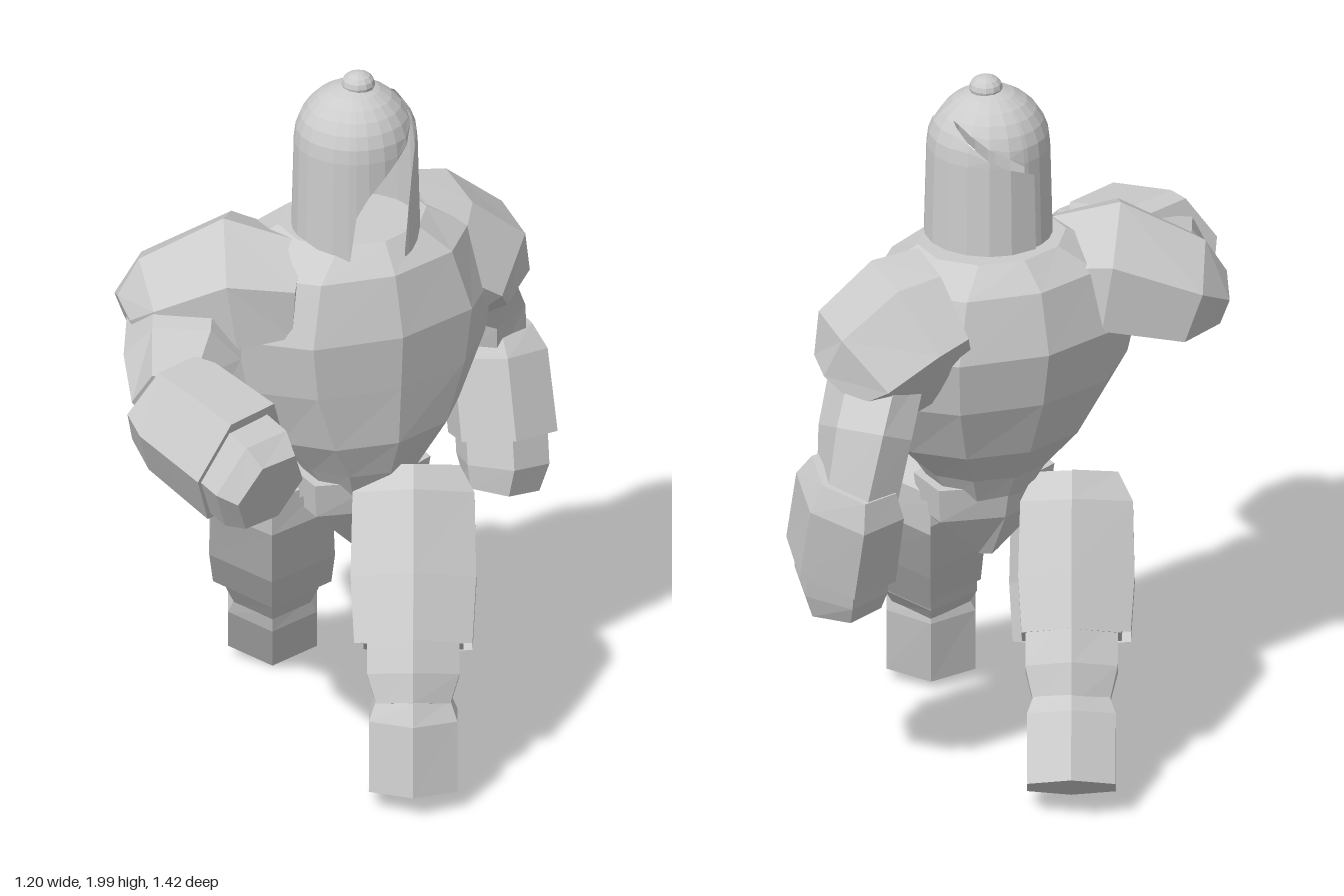
import * as THREE from 'three';

const V = (x, y, z) => new THREE.Vector3(x, y, z);
const { degToRad: rad, clamp } = THREE.MathUtils;
const mat = new THREE.MeshStandardMaterial({ color: 0xcccccc, flatShading: true });
const thin = new THREE.MeshStandardMaterial({ color: 0xcccccc, flatShading: true, side: THREE.DoubleSide });

// Skin a list of rows of points, optionally closing both ends with caps
function skin(rows, capped) {
  const pos = [], idx = [], w = rows[0].length;
  const add = (p) => pos.push(p.x, p.y, p.z) / 3 - 1;
  rows.forEach((r) => r.forEach(add));
  for (let i = 0; i < rows.length - 1; i++)
    for (let j = 0; j < w - 1; j++) {
      const a = i * w + j, b = a + 1, c = b + w, d = a + w;
      idx.push(a, b, c, a, c, d);
    }
  if (capped) {
    for (const end of [0, rows.length - 1]) {
      const mid = V(0, 0, 0);
      for (let j = 0; j < w - 1; j++) mid.addScaledVector(rows[end][j], 1 / (w - 1));
      const m = add(mid), o = end * w;
      for (let j = 0; j < w - 1; j++) end ? idx.push(m, o + j, o + j + 1) : idx.push(m, o + j + 1, o + j);
    }
  }
  const g = new THREE.BufferGeometry();
  g.setAttribute('position', new THREE.Float32BufferAttribute(pos, 3));
  g.setIndex(idx);
  g.computeVertexNormals();
  return g;
}

// Loft polygon sections [x, y, z, half width along side, half depth] along their path;
// faces = [first, last] corner leaves an open plate over part of the polygon
function loft(name, sections, { side = V(1, 0, 0), n = 6, axis, faces, grow = 0 } = {}) {
  const pts = sections.map((s) => V(s[0], s[1], s[2]));
  const [first, last] = faces || [0, n];
  const k = 1 / Math.cos(Math.PI / n);
  const rows = sections.map((s, i) => {
    const t = axis || pts[Math.min(i + 1, pts.length - 1)].clone().sub(pts[Math.max(i - 1, 0)]).normalize();
    const u = side.clone().addScaledVector(t, -side.dot(t)).normalize();
    const v = t.clone().cross(u);
    return Array.from({ length: last - first + 1 }, (_, j) => {
      const a = Math.PI * (2 * (first + j) + 1) / n;
      return pts[i].clone()
        .addScaledVector(u, Math.cos(a) * (s[3] + grow) * k)
        .addScaledVector(v, Math.sin(a) * (s[4] + grow) * (n === 6 ? 1.06 : k));
    });
  });
  const m = new THREE.Mesh(skin(rows, !faces), faces ? thin : mat);
  m.name = name;
  return m;
}

// Helmet: turned dome cut by a slanted slit, with an overlapping side guard below the cut
function helmet() {
  const g = new THREE.Group();
  g.name = 'helmet';
  g.position.set(0.045, 0, -0.13);
  const levels = [1.47, 1.58, 1.68, 1.75, 1.8, 1.84, 1.875, 1.905, 1.93, 1.95, 1.961, 1.965];
  const radius = (y) => y < 1.8 ? 0.165 + (1.8 - y) * 0.025 : Math.sqrt(Math.max(0, 0.165 ** 2 - (y - 1.8) ** 2));
  // columns: [angle, low y, high y]
  const shell = (name, cols, scale) => {
    const rows = levels.map((level) => cols.map(([a, lo, hi]) => {
      const y = clamp(level, lo, hi), r = radius(y) * scale;
      return V(Math.sin(rad(a)) * r, y, Math.cos(rad(a)) * r);
    }));
    const m = new THREE.Mesh(skin(rows), thin);
    m.name = name;
    return m;
  };
  const cut = [[-5, 1.48], [2, 1.64], [14, 1.7], [30, 1.75], [45, 1.79], [60, 1.82], [80, 1.86], [100, 1.89],
    [120, 1.905], [140, 1.9], [160, 1.88], [180, 1.85], [200, 1.82], [215, 1.79], [220, 1.5]];
  for (let a = 235; a < 355; a += 15) cut.push([a, 1.5]);
  cut.push([355, 1.48]);
  const rim = [[50, 1.52], [56, 1.63], [62, 1.71], [72, 1.8], [85, 1.87], [100, 1.91], [120, 1.915], [140, 1.895],
    [160, 1.86], [180, 1.82], [200, 1.79], [225, 1.76]];
  const knob = new THREE.Mesh(new THREE.SphereGeometry(0.046, 12, 8), mat);
  knob.name = 'helmetKnob';
  knob.position.set(0.01, 1.965, 0);
  knob.scale.y = 0.76;
  g.add(
    shell('helmetDome', cut.map(([a, y]) => [a, y, 1.965]), 1),
    shell('helmetSideGuard', rim.map(([a, y], i) => [a, i ? 1.5 : 1.47, y]), 1.04),
    knob);
  return g;
}

export function createModel() {
  const model = new THREE.Group();
  model.name = 'armouredFigure';
  const up = V(0, 1, 0);

  // Barrel torso and wedge pelvis, turned toward the left
  const body = new THREE.Group();
  body.name = 'body';
  body.position.set(0.03, 0, -0.17);
  body.rotation.y = rad(30);
  body.add(
    loft('torso', [
      [0, 0.78, 0.06, 0.13, 0.12], [0, 0.86, 0.06, 0.18, 0.16], [0, 0.97, 0.04, 0.28, 0.22],
      [0, 1.14, 0.01, 0.37, 0.26], [0, 1.3, 0, 0.4, 0.28], [0, 1.47, 0, 0.33, 0.24],
      [0.01, 1.54, 0, 0.2, 0.17],
    ], { n: 10, axis: up }),
    loft('pelvis', [
      [0, 0.58, 0.06, 0.03, 0.04], [0, 0.72, 0.06, 0.17, 0.11], [0, 0.82, 0.06, 0.18, 0.13],
    ], { axis: up }));
  model.add(body, helmet());

  // Right arm, bent and reaching forward
  const rightArm = new THREE.Group();
  rightArm.name = 'rightArm';
  rightArm.add(
    loft('rightShoulder', [[-0.1, 1.39, -0.04, 0.17, 0.13], [-0.28, 1.4, -0.06, 0.225, 0.18],
      [-0.49, 1.33, -0.05, 0.19, 0.14], [-0.57, 1.3, -0.03, 0.1, 0.07]], { side: V(0, 0, 1) }),
    loft('rightUpperArm', [[-0.41, 1.33, -0.02, 0.1, 0.15], [-0.42, 1.29, 0.18, 0.1, 0.15],
      [-0.44, 1.24, 0.36, 0.1, 0.11]], { side: up }),
    loft('rightForearm', [[-0.47, 1.25, 0.34, 0.13, 0.13], [-0.42, 1.22, 0.39, 0.155, 0.155],
      [-0.26, 1.16, 0.54, 0.165, 0.16]], { side: up }),
    loft('rightFist', [[-0.3, 1.17, 0.51, 0.14, 0.14], [-0.22, 1.135, 0.59, 0.14, 0.14],
      [-0.18, 1.115, 0.635, 0.11, 0.11]], { side: up }));

  // Left arm, hanging behind
  const turned = { side: V(0.62, 0, 0.78) };
  const leftArm = new THREE.Group();
  leftArm.name = 'leftArm';
  leftArm.add(
    loft('leftShoulder', [[0.16, 1.39, -0.33, 0.16, 0.18], [0.25, 1.36, -0.36, 0.18, 0.2],
      [0.38, 1.27, -0.41, 0.16, 0.19], [0.43, 1.21, -0.42, 0.1, 0.13]], { side: up }),
    loft('leftUpperArm', [[0.34, 1.28, -0.41, 0.13, 0.1], [0.38, 1.12, -0.53, 0.13, 0.1],
      [0.4, 0.96, -0.56, 0.11, 0.1]], turned),
    loft('leftForearm', [[0.41, 1.01, -0.565, 0.12, 0.1], [0.42, 0.94, -0.55, 0.15, 0.13],
      [0.445, 0.72, -0.485, 0.15, 0.135]], turned),
    loft('leftFist', [[0.44, 0.74, -0.49, 0.125, 0.115], [0.445, 0.65, -0.465, 0.125, 0.115],
      [0.44, 0.58, -0.455, 0.1, 0.1]], turned));

  // Left leg strides forward, right leg trails behind
  const legs = [
    { name: 'left', x: 0.205, faces: [-2, 2], thigh: [[0.82, -0.09, 0.1, 0.1], [0.75, -0.05, 0.14, 0.14], [0.56, 0.08, 0.145, 0.14], [0.41, 0.18, 0.135, 0.13]],
      shin: [[0.46, 0.17, 0.125, 0.13], [0.35, 0.23, 0.125, 0.13], [0.28, 0.27, 0.1, 0.11]],
      foot: [[0.3, 0.26, 0.1, 0.105], [0.25, 0.275, 0.12, 0.12], [0.055, 0.31, 0.12, 0.115]] },
    { name: 'right', x: -0.178, faces: [0, 4], thigh: [[0.8, -0.11, 0.1, 0.1], [0.73, -0.15, 0.14, 0.13], [0.55, -0.25, 0.145, 0.14], [0.42, -0.34, 0.135, 0.13]],
      shin: [[0.45, -0.32, 0.125, 0.13], [0.35, -0.4, 0.125, 0.12], [0.26, -0.45, 0.1, 0.1]],
      foot: [[0.29, -0.435, 0.1, 0.1], [0.24, -0.465, 0.12, 0.115], [0.08, -0.575, 0.12, 0.115]] },
  ];
  for (const { name, x, faces, thigh, shin, foot } of legs) {
    const at = (list) => list.map(([y, z, a, b]) => [x, y, z, a, b]);
    const leg = new THREE.Group();
    leg.name = name + 'Leg';
    leg.add(
      loft(name + 'Thigh', at(thigh)),
      loft(name + 'ThighPlate', at(thigh), { faces, grow: 0.025 }),
      loft(name + 'Shin', at(shin)),
      loft(name + 'Foot', at(foot)));
    model.add(leg);
  }
  model.add(rightArm, leftArm);
  return model;
}
